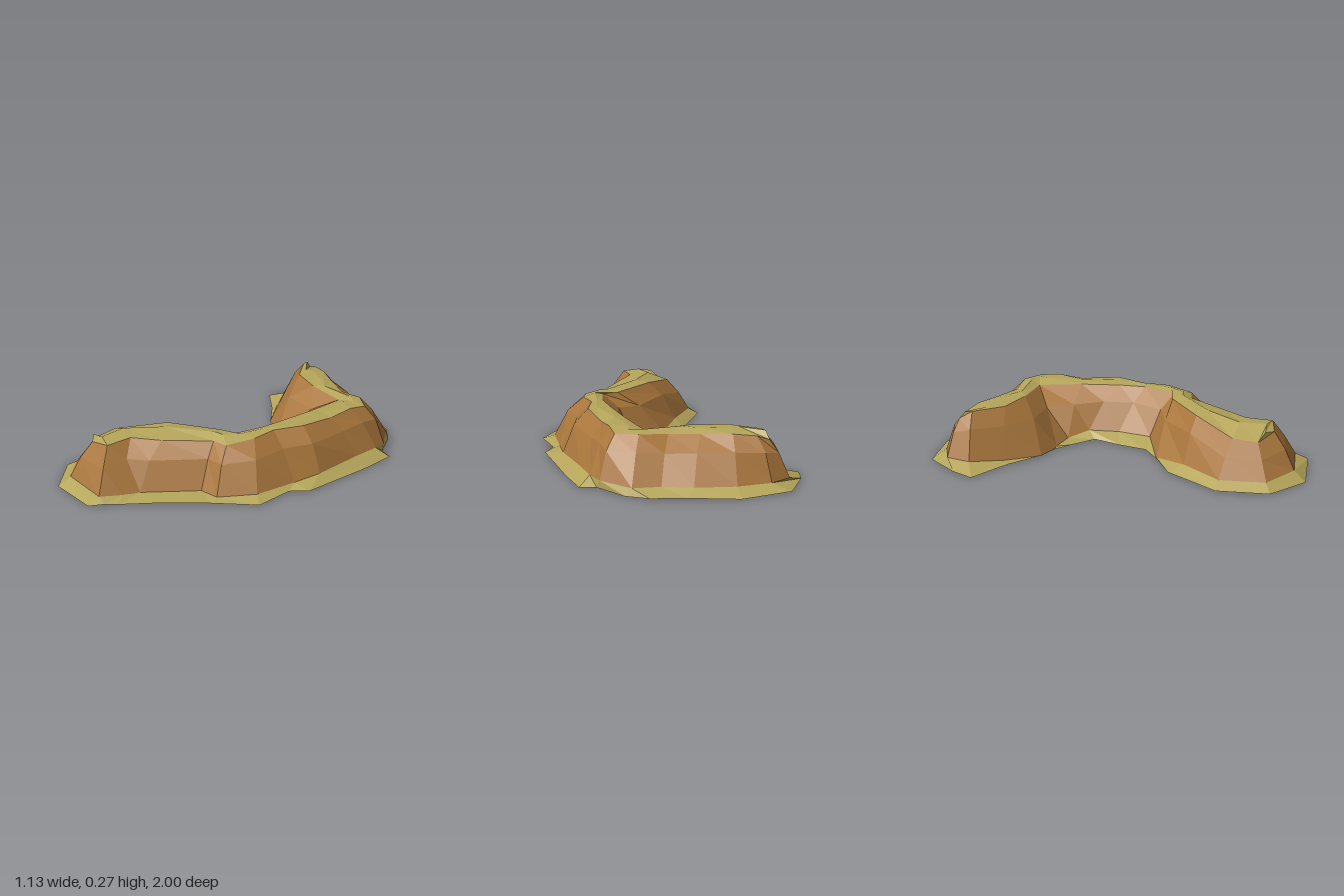
import * as THREE from 'three';

// Plan outlines (x, z pairs), clockwise from the back right end; all share the same stations.
const SKIRT = [
  -.57, -.73, -.52, -.84, -.38, -1, -.11, -1, .13, -.91, .30, -.85, .39, -.76, .48, -.60, .56, -.57, .56, -.37,
  .55, .06, .48, .14, .48, .35, .30, .53, .13, .71, -.01, .87, -.05, .93, -.09, 1, -.39, .98, -.57, .80,
  -.57, .53, -.36, .27, -.20, .19, -.09, .12, -.03, -.03, .02, -.18, -.08, -.30, -.14, -.38, -.25, -.43, -.39, -.58];
const FOOT = [
  -.46, -.77, -.42, -.90, -.30, -.94, -.12, -.93, .08, -.87, .22, -.80, .36, -.77, .47, -.62, .49, -.53, .49, -.37,
  .49, -.08, .46, .08, .42, .31, .29, .47, .18, .48, -.01, .73, -.04, .82, -.09, .93, -.36, .92, -.51, .78,
  -.51, .54, -.34, .35, -.20, .19, .02, .13, .07, -.05, .07, -.22, 0, -.33, -.12, -.37, -.25, -.43, -.37, -.60];
const RIM = [
  -.32, -.78, -.33, -.85, -.27, -.83, -.16, -.79, -.02, -.71, .12, -.64, .27, -.63, .37, -.56, .36, -.45, .35, -.31,
  .35, -.09, .28, .06, .28, .20, .22, .34, .13, .35, -.05, .55, -.17, .66, -.18, .80, -.30, .81, -.39, .73,
  -.39, .60, -.19, .40, .06, .25, .15, .25, .21, .08, .22, -.07, .22, -.29, .20, -.53, -.03, -.56, -.21, -.63];

// Heights by station
const FOOT_Y = [
  .04, .04, .04, .04, .04, .04, .04, .045, .05, .05, .04, .03, .025, .015, .015,
  .02, .025, .035, .05, .04, .04, .04, .012, .04, .04, .04, .015, .012, .012, .02];
const RIM_Y = [
  .27, .23, .25, .26, .255, .25, .26, .255, .268, .252, .268, .265, .258, .242, .24,
  .245, .255, .25, .235, .205, .22, .26, .255, .255, .265, .265, .26, .25, .262, .265];

// Inner rim station facing each outer one (stations 1 to 18)
const FACING = [0, 29, 29, 28, 28, 27, 27, 27, 26, 25, 24, 23, 22, 22, 21, 20, 19, 19];

const ring = (outline, height) => Array.from({ length: outline.length / 2 },
  (_, i) => new THREE.Vector3(outline[2 * i], height(i), outline[2 * i + 1]));

// Strip of triangles joining a lower row to an upper one, without empty triangles
function strip(lower, upper, closed, out) {
  const last = lower.length - (closed ? 0 : 1);
  for (let i = 0; i < last; i++) {
    const j = (i + 1) % lower.length;
    if (!upper[i].equals(upper[j])) out.push(lower[i], upper[i], upper[j]);
    if (!lower[i].equals(lower[j])) out.push(lower[i], upper[j], lower[j]);
  }
}

function facetedMesh(name, triangles, color) {
  const geometry = new THREE.BufferGeometry().setFromPoints(triangles);
  geometry.computeVertexNormals();
  const mesh = new THREE.Mesh(geometry, new THREE.MeshStandardMaterial({
    color, flatShading: true, side: THREE.DoubleSide }));
  mesh.name = name;
  return mesh;
}

export function createModel() {
  const group = new THREE.Group();
  group.name = 'curvedRidge';

  const skirt = ring(SKIRT, i => (i % 3 ? .006 : 0));
  const foot = ring(FOOT, i => FOOT_Y[i]);
  const rim = ring(RIM, i => RIM_Y[i]);

  // Bulging middle of the earth wall; the front end stays straight
  const middle = foot.map((f, i) => {
    const p = f.clone().lerp(rim[i], .5 + .06 * Math.sin(i * 2.4));
    const straight = i >= 17 && i <= 20;
    p.y = THREE.MathUtils.lerp(f.y, rim[i].y, straight ? .55 : .66);
    return p;
  });

  // Crown line running between the facing sides of the rim
  const outer = FACING.map((_, k) => rim[k + 1]);
  const inner = FACING.map(i => rim[i]);
  const crown = outer.map((o, k) => {
    const p = o.clone().lerp(inner[k], .5 + .1 * Math.sin(k * 1.9));
    p.y = Math.min(.27, Math.max(o.y, inner[k].y) + .012);
    return p;
  });

  const grassSkirt = [], earthWall = [], grassTop = [];
  strip(skirt, foot, true, grassSkirt);
  strip(foot, middle, true, earthWall);
  strip(middle, rim, true, earthWall);
  strip(outer, crown, false, grassTop);
  strip(crown, inner, false, grassTop);
  // Ends of the grass top
  grassTop.push(rim[0], crown[0], rim[1], rim[18], crown[17], rim[19]);

  group.add(
    facetedMesh('grassSkirt', grassSkirt, 0xb5a55a),
    facetedMesh('earthWall', earthWall, 0xa9763c),
    facetedMesh('grassTop', grassTop, 0xb5a55a));
  return group;
}
